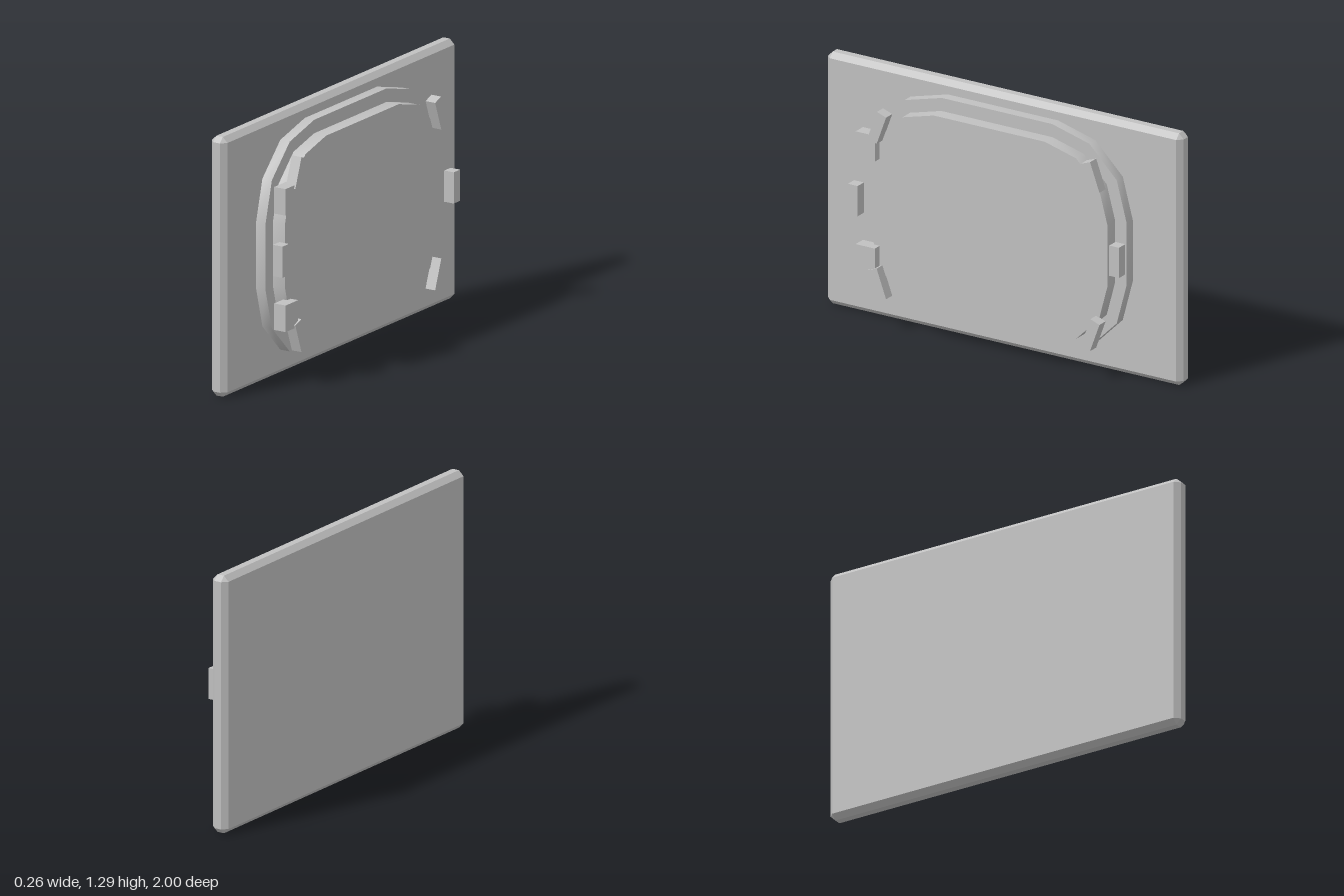
import * as THREE from 'three';
import { toCreasedNormals } from 'three/addons/utils/BufferGeometryUtils.js';
import { ConvexGeometry } from 'three/addons/geometries/ConvexGeometry.js';

const MID_Y = 0.645;

// Box with every edge cut at 45 degrees
function chamferedBox(w, h, d, c) {
  const points = [];
  for (const sx of [-1, 1]) for (const sy of [-1, 1]) for (const sz of [-1, 1]) {
    for (let axis = 0; axis < 3; axis++) {
      const cut = [c, c, c];
      cut[axis] = 0;
      points.push(new THREE.Vector3(sx * (w / 2 - cut[0]), sy * (h / 2 - cut[1]), sz * (d / 2 - cut[2])));
    }
  }
  return new ConvexGeometry(points);
}

// Rounded rectangle slab, three facets per corner, extruded along +x
function roundedSlab(halfZ, halfY, radius, thickness) {
  const points = [];
  const corners = [[1, 1], [-1, 1], [-1, -1], [1, -1]];
  corners.forEach(([sx, sy], quarter) => {
    for (let i = 0; i <= 3; i++) {
      const a = (quarter + i / 3) * Math.PI / 2;
      points.push(new THREE.Vector2(
        sx * (halfZ - radius) + radius * Math.cos(a),
        sy * (halfY - radius) + radius * Math.sin(a)));
    }
  });
  const geo = new THREE.ExtrudeGeometry(new THREE.Shape(points), { depth: thickness, bevelEnabled: false });
  geo.rotateY(Math.PI / 2);
  return toCreasedNormals(geo, 0.6);
}

export function createModel() {
  const model = new THREE.Group();
  model.name = 'panel';
  const grey = new THREE.MeshStandardMaterial({ color: 0xc0c0c0 });
  grey.name = 'grey';

  function add(name, geometry, x, y, z, tilt = 0) {
    const mesh = new THREE.Mesh(geometry, grey);
    mesh.name = name;
    mesh.position.set(x, y, z);
    mesh.rotation.x = tilt;
    model.add(mesh);
  }

  // Back plate and the two stepped slabs
  add('backPlate', chamferedBox(0.089, 1.29, 2, 0.026), -0.0885, MID_Y, 0);
  add('outerStep', roundedSlab(0.73, 0.577, 0.42, 0.056), -0.046, MID_Y, 0);
  add('innerStep', roundedSlab(0.665, 0.51, 0.353, 0.071), 0.008, MID_Y, 0);

  // Clips around the rim: one upright and two tilted at each end
  const clip = new THREE.BoxGeometry(0.055, 0.155, 0.055);
  for (const end of [1, -1]) {
    add('sideClip', clip, 0.1025, 0.648, end * 0.735);
    for (const up of [1, -1]) {
      add('cornerClip', clip, 0.1025, MID_Y + up * 0.402, end * 0.6, -end * up * THREE.MathUtils.degToRad(20));
    }
  }

  // Hinge blocks on the +z end
  const block = new THREE.BoxGeometry(0.065, 0.132, 0.108);
  for (const up of [1, -1]) add('hingeBlock', block, 0.0895, MID_Y + up * 0.289, 0.67);

  return model;
}
